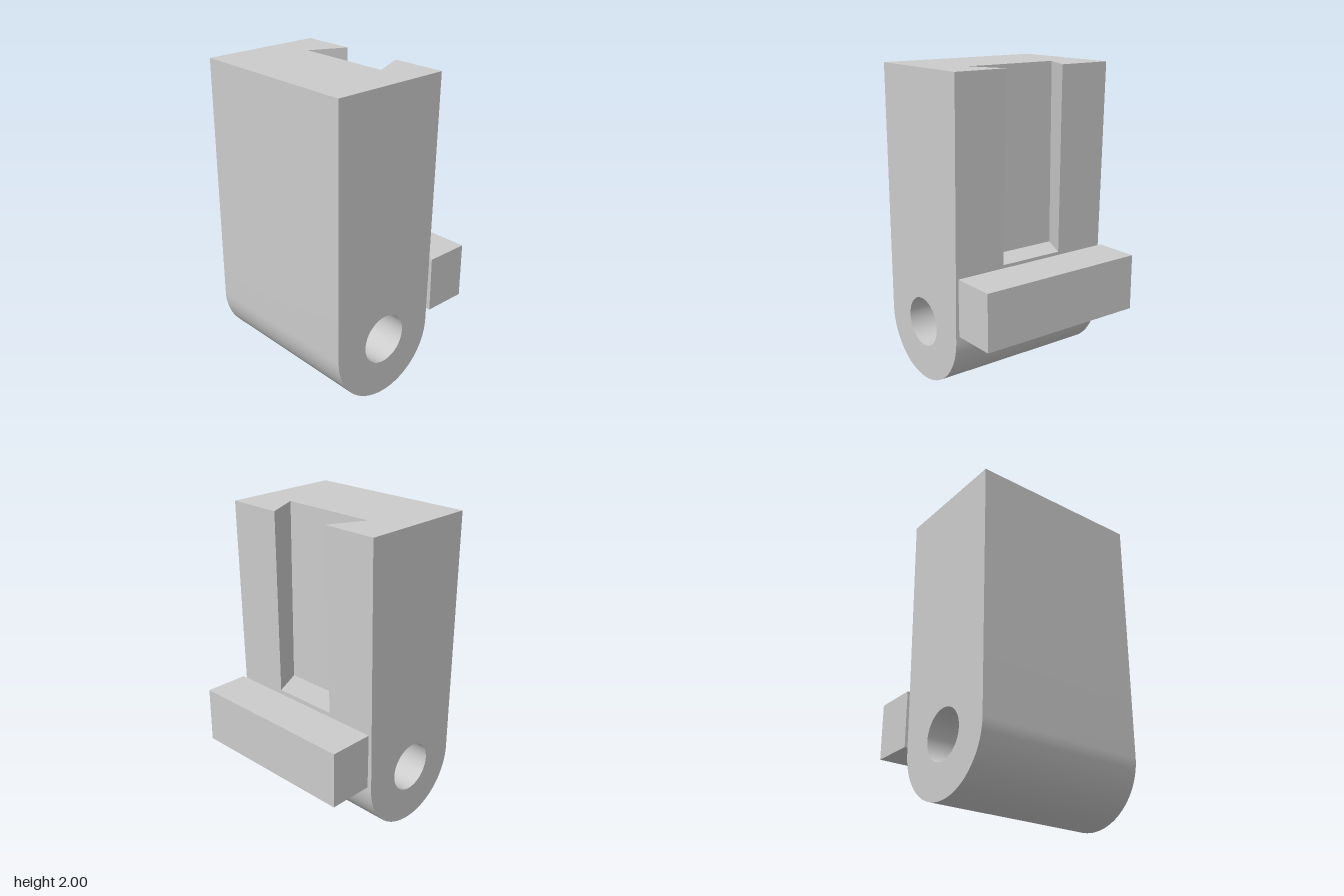
import * as THREE from 'three';
import { toCreasedNormals } from 'three/addons/utils/BufferGeometryUtils.js';

const W = 0.573, FRONT = 0.545, TOP = 2, FLOOR = 0.8;
const BACK_TOP = -0.25, BACK_FLOOR = -0.224, SLOT = -0.015;

// Remove the horizontal faces where the two body halves meet
function openAt(geo, level) {
  const p = geo.getAttribute('position'), kept = [];
  for (let i = 0; i < p.count; i += 3) {
    const joint = [0, 1, 2].every(k => Math.abs(p.getY(i + k) - level) < 1e-4);
    if (joint) continue;
    for (let k = 0; k < 3; k++) kept.push(p.getX(i + k), p.getY(i + k), p.getZ(i + k));
  }
  const out = new THREE.BufferGeometry();
  out.setAttribute('position', new THREE.Float32BufferAttribute(kept, 3));
  return toCreasedNormals(out, 0.4);
}

// Half width of the dovetail slot at depth z
const slotHalf = z => THREE.MathUtils.mapLinear(z, BACK_TOP, SLOT, 0.21, 0.322);

export function createModel() {
  const model = new THREE.Group();
  const grey = new THREE.MeshStandardMaterial({ color: 0xcccccc });
  grey.name = 'light grey';
  const add = (name, geo) => {
    const mesh = new THREE.Mesh(geo, grey);
    mesh.name = name;
    model.add(mesh);
    return mesh;
  };

  // Rounded lower body with a pin hole, side profile drawn in (-z, y)
  const side = new THREE.Shape();
  side.moveTo(-FRONT, FLOOR);
  side.lineTo(-FRONT, 0.38);
  side.absarc(-0.165, 0.38, 0.38, Math.PI, Math.PI * 2, false);
  side.lineTo(-BACK_FLOOR, FLOOR);
  side.closePath();
  const hole = new THREE.Path();
  hole.absarc(-0.165, 0.385, 0.16, 0, Math.PI * 2, true);
  side.holes.push(hole);
  const lower = new THREE.ExtrudeGeometry(side, { depth: W * 2, bevelEnabled: false, curveSegments: 32 });
  lower.translate(0, 0, -W).rotateY(Math.PI / 2);
  add('lowerBody', openAt(lower.toNonIndexed ? (lower.index ? lower.toNonIndexed() : lower) : lower, FLOOR));

  // Upper body with a dovetail slot, plan drawn in (x, -z)
  const a = slotHalf(BACK_TOP), b = slotHalf(SLOT);
  const plan = new THREE.Shape([
    [-W, -FRONT], [W, -FRONT], [W, -BACK_TOP], [a, -BACK_TOP],
    [b, -SLOT], [-b, -SLOT], [-a, -BACK_TOP], [-W, -BACK_TOP],
  ].map(c => new THREE.Vector2(...c)));
  const upper = new THREE.ExtrudeGeometry(plan, { depth: TOP - FLOOR, bevelEnabled: false });
  upper.rotateX(-Math.PI / 2).translate(0, FLOOR, 0);
  // Lean the back face inward towards the slot floor
  const p = upper.getAttribute('position');
  for (let i = 0; i < p.count; i++) {
    if (p.getY(i) > FLOOR + 0.01 || p.getZ(i) > BACK_TOP + 0.01) continue;
    p.setZ(i, BACK_FLOOR);
    if (Math.abs(p.getX(i)) < W - 0.1) p.setX(i, Math.sign(p.getX(i)) * slotHalf(BACK_FLOOR));
  }
  add('upperBody', openAt(upper.index ? upper.toNonIndexed() : upper, FLOOR));

  // Floor of the slot
  const c = slotHalf(BACK_FLOOR);
  const floor = new THREE.ShapeGeometry(new THREE.Shape([
    [-b, -SLOT], [b, -SLOT], [c, -BACK_FLOOR], [-c, -BACK_FLOOR],
  ].map(q => new THREE.Vector2(...q))));
  floor.rotateX(-Math.PI / 2).translate(0, FLOOR, 0);
  add('slotFloor', floor);

  // Separate bar behind the body
  add('rearBar', new THREE.BoxGeometry(W * 2, 0.365, 0.295)).position.set(0, 0.6075, -0.3975);

  return model;
}
